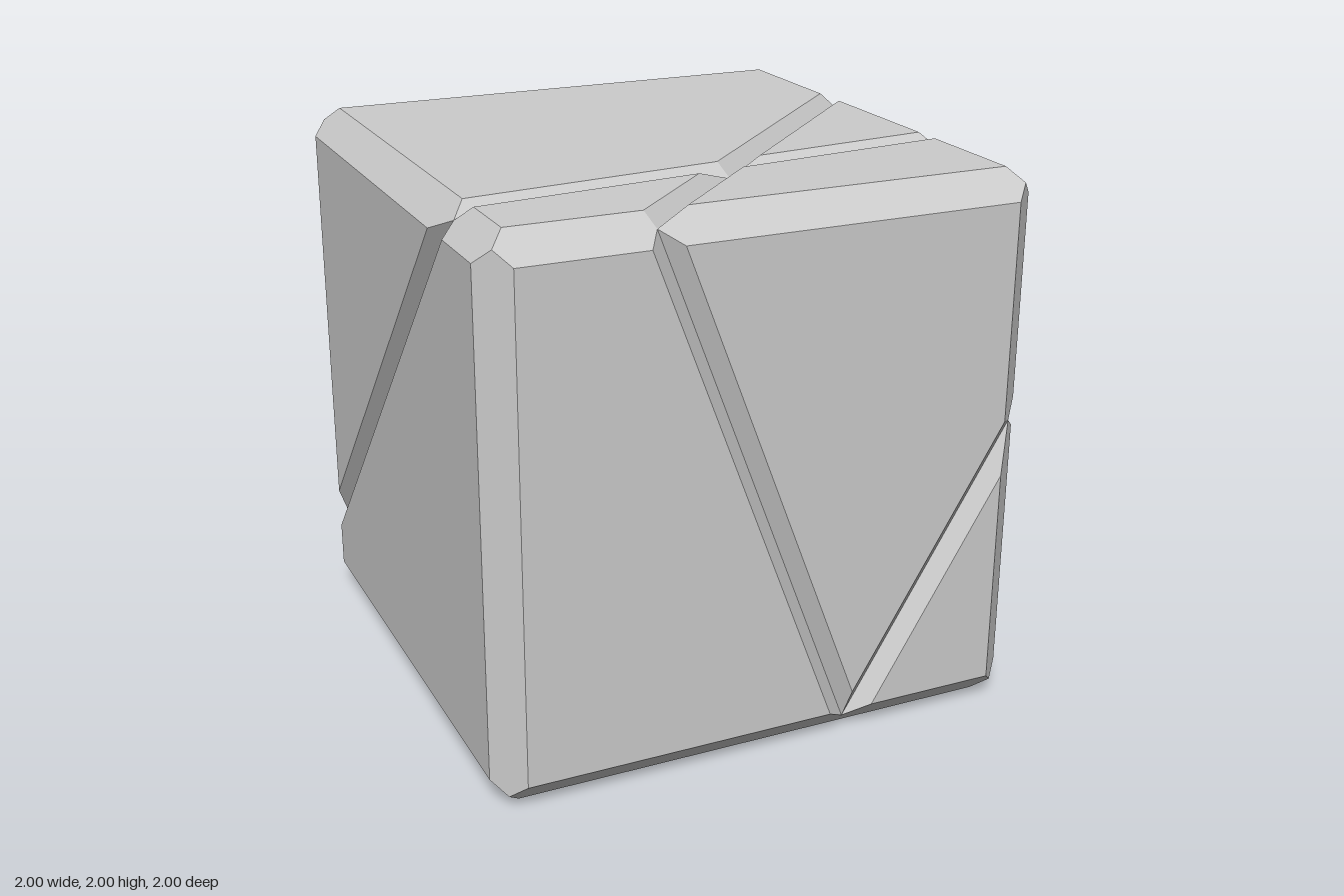
import * as THREE from 'three';

const V = (x, y, z) => new THREE.Vector3(x, y, z);
const CENTRE = V(0, 1, 0);
const HALF = 1, BEVEL = 0.1, DEPTH = 0.05, GROOVE = 0.053; // GROOVE is half the groove width

// Keep the part of a convex polygon on the positive side of a plane.
function clip(poly, plane) {
  const out = [];
  poly.forEach((a, i) => {
    const b = poly[(i + 1) % poly.length];
    const da = plane.distanceToPoint(a), db = plane.distanceToPoint(b);
    if (da >= -1e-7) out.push(a);
    if ((da > 1e-7 && db < -1e-7) || (da < -1e-7 && db > 1e-7)) {
      out.push(a.clone().lerp(b, da / (da - db)));
    }
  });
  return out.length > 2 ? out : null;
}

// Large square lying in a plane, wound so that it faces along the normal.
function sheet(plane) {
  const n = plane.normal;
  const u = V(0, 0, 0).crossVectors(Math.abs(n.y) < 0.9 ? V(0, 1, 0) : V(1, 0, 0), n).normalize();
  const v = V(0, 0, 0).crossVectors(n, u);
  const c = plane.projectPoint(CENTRE, V(0, 0, 0));
  return [[-4, -4], [4, -4], [4, 4], [-4, 4]].map(([s, t]) =>
    c.clone().addScaledVector(u, s).addScaledVector(v, t));
}

// Remove from a list of polygons everything inside a V-shaped wedge (two planes).
function carve(polys, [a, b]) {
  return polys.flatMap((p) => {
    const inA = clip(p, a);
    return [clip(p, a.clone().negate()), inA && clip(inA, b.clone().negate())].filter(Boolean);
  });
}

// Outward planes of the cube's six faces and twelve bevels.
function outerPlanes() {
  const faces = [], bevels = [];
  for (let x = -1; x <= 1; x++) for (let y = -1; y <= 1; y++) for (let z = -1; z <= 1; z++) {
    const n = V(x, y, z), kind = n.lengthSq();
    if (kind !== 1 && kind !== 2) continue;
    const reach = kind === 1 ? HALF : (2 * HALF - BEVEL) / Math.SQRT2;
    n.normalize();
    const plane = new THREE.Plane().setFromNormalAndCoplanarPoint(n, CENTRE.clone().addScaledVector(n, reach));
    (kind === 1 ? faces : bevels).push(plane);
  }
  return { faces, bevels };
}

// Two planes whose common positive side is the groove running from a to b on a face.
function wedge(face, a, b) {
  const side = b.clone().sub(a).cross(face).normalize();
  return [1, -1].map((s) => {
    const n = face.clone().multiplyScalar(GROOVE / DEPTH).addScaledVector(side, s).normalize();
    return new THREE.Plane().setFromNormalAndCoplanarPoint(n, a);
  });
}

function mesh(name, polys, material) {
  const pos = [];
  for (const p of polys) {
    for (let i = 1; i < p.length - 1; i++) {
      for (const q of [p[0], p[i], p[i + 1]]) pos.push(q.x, q.y, q.z);
    }
  }
  const geometry = new THREE.BufferGeometry();
  geometry.setAttribute('position', new THREE.Float32BufferAttribute(pos, 3));
  geometry.computeVertexNormals();
  const m = new THREE.Mesh(geometry, material);
  m.name = name;
  return m;
}

export function createModel() {
  const group = new THREE.Group();
  group.name = 'crackedBlock';
  const material = new THREE.MeshStandardMaterial({ color: 0xcccccc, flatShading: true });

  // Points on the bevels where the cracks meet.
  const frontTop = V(-0.41, 1.95, 0.95), frontBottom = V(0.32, 0.05, 0.95);
  const frontRight = V(0.95, 1.09, 0.95), rightBack = V(0.95, 1.52, -0.95);
  const rightBottom = V(0.95, 0.05, -0.35), topRightFront = V(0.95, 1.95, 0.4);
  const topRightBack = V(0.95, 1.95, -0.35), topLeft = V(-0.95, 1.95, 0.6);
  const backRight = V(0.95, 0.48, -0.95), backLeft = V(-0.95, 1.36, -0.95);
  const backBottom = V(-0.32, 0.05, -0.95), leftBack = V(-0.95, 0.29, -0.95);
  const bottomLeft = V(-0.95, 0.05, 0.2);

  // Cracks: face direction, start, end.
  const wedges = [
    [V(0, 0, 1), frontTop, frontBottom],
    [V(0, 0, 1), frontBottom, frontRight],
    [V(1, 0, 0), frontRight, rightBack],
    [V(1, 0, 0), rightBack, rightBottom],
    [V(0, 1, 0), topLeft, topRightFront],
    [V(0, 1, 0), frontTop, topRightBack],
    [V(0, 0, -1), backRight, backLeft],
    [V(0, 0, -1), backLeft, backBottom],
    [V(-1, 0, 0), topLeft, leftBack],
    [V(0, -1, 0), rightBottom, bottomLeft],
    [V(0, -1, 0), backBottom, bottomLeft],
  ].map(([face, a, b]) => wedge(face, a, b));

  const { faces, bevels } = outerPlanes();
  const all = [...faces, ...bevels];
  const within = (poly, skip) => all.reduce(
    (p, plane) => (p && plane !== skip ? clip(p, plane.clone().negate()) : p), poly);

  // Faces and bevels with the cracks cut out.
  const skin = (planes) => wedges.reduce(carve, planes.map((p) => within(sheet(p), p)).filter(Boolean));
  group.add(mesh('faces', skin(faces), material));
  group.add(mesh('bevelledEdges', skin(bevels), material));

  // Sloping walls of the cracks, cut where cracks cross.
  const walls = wedges.flatMap((w) => w.flatMap((plane, i) => {
    const wall = within(clip(sheet(plane), w[1 - i]));
    return wall ? wedges.filter((o) => o !== w).reduce(carve, [wall]) : [];
  }));
  group.add(mesh('crackWalls', walls, material));
  return group;
}
